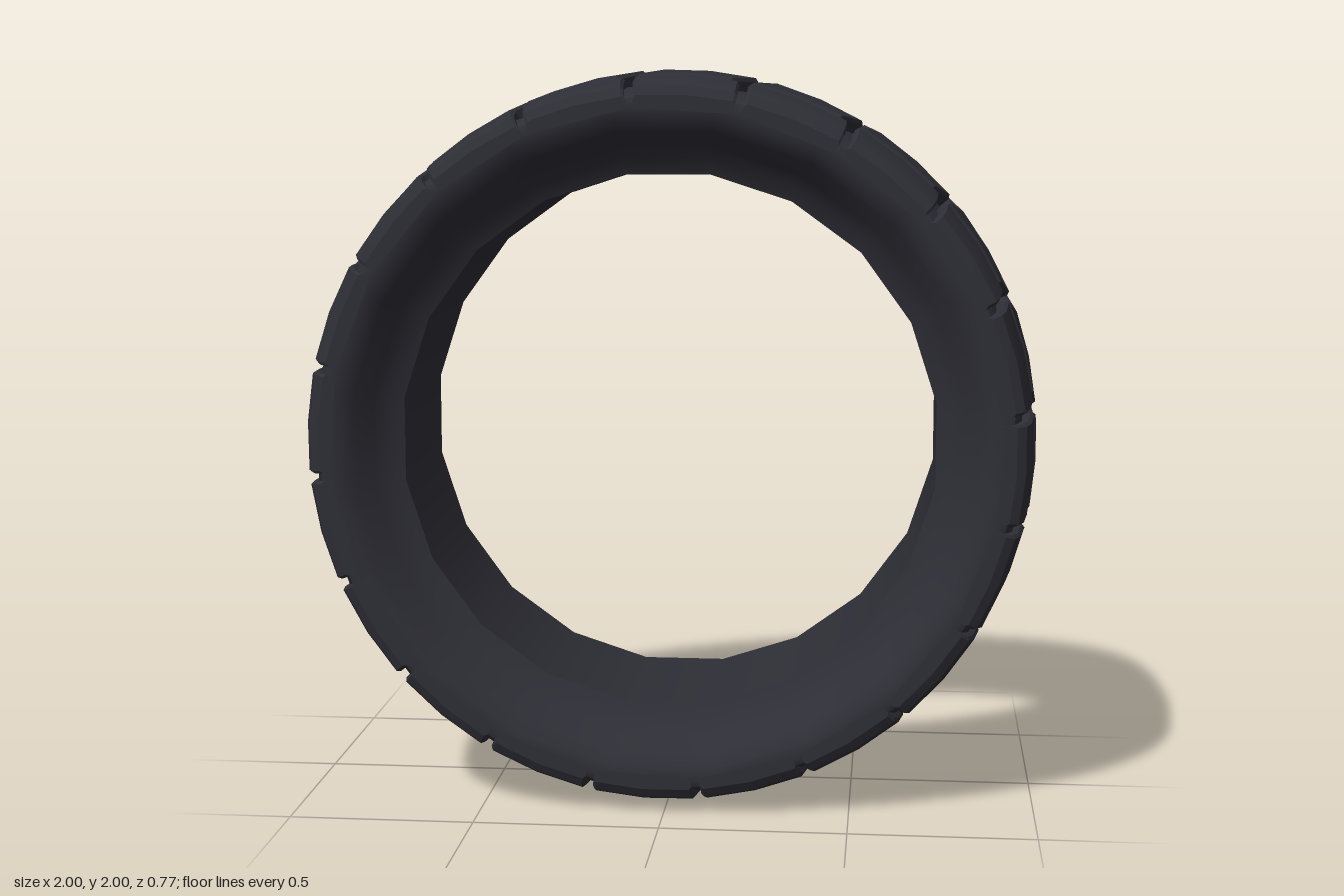
import * as THREE from 'three';
import { toCreasedNormals } from 'three/addons/utils/BufferGeometryUtils.js';

const COUNT = 20;
const STEP = 360 / COUNT;
const rad = THREE.MathUtils.degToRad;

// Ring of revolution around z from [radius, z] points
function ring(points) {
  const profile = points.map(([r, z]) => new THREE.Vector2(r, z));
  const geometry = new THREE.LatheGeometry(profile, COUNT, rad(STEP / 2), Math.PI * 2);
  return geometry.rotateX(Math.PI / 2);
}

// Bevelled tread block lofted through [z, radius] stations; shift(z) skews it in degrees
function treadBlock(stations, from, to, shift) {
  const base = 0.9, bevel = 0.009;
  const rows = stations.map(([z, r]) => {
    const a = from + shift(z), b = to + shift(z);
    const loop = [
      [a, base], [a, r - bevel], [a + 0.45, r], [(a + b) / 2, r],
      [b - 0.45, r], [b, r - bevel], [b, base],
    ];
    return loop.map(([deg, rr]) => [rr * Math.cos(rad(deg)), rr * Math.sin(rad(deg)), z]);
  });
  const position = [];
  const face = (...corners) => corners.forEach((c) => position.push(...c));
  for (let i = 0; i < rows.length - 1; i++) {
    for (let j = 0; j < rows[i].length - 1; j++) {
      const a = rows[i][j], b = rows[i][j + 1], c = rows[i + 1][j], d = rows[i + 1][j + 1];
      face(a, b, c);
      face(b, d, c);
    }
  }
  // End caps
  const first = rows[0], last = rows[rows.length - 1];
  for (let j = 1; j < first.length - 1; j++) {
    face(first[0], first[j + 1], first[j]);
    face(last[0], last[j], last[j + 1]);
  }
  const geometry = new THREE.BufferGeometry();
  geometry.setAttribute('position', new THREE.Float32BufferAttribute(position, 3));
  return toCreasedNormals(geometry, rad(25));
}

export function createModel() {
  const model = new THREE.Group();
  model.name = 'tire';
  const rubber = new THREE.MeshStandardMaterial({ color: 0x2e2e36 });
  rubber.name = 'dark rubber';

  const wheel = new THREE.Group();
  wheel.name = 'tireBody';
  wheel.position.y = 1;
  model.add(wheel);

  const add = (name, geometry, parent = wheel) => {
    const mesh = new THREE.Mesh(geometry, rubber);
    mesh.name = name;
    parent.add(mesh);
    return mesh;
  };

  // Carcass: groove floor, dished sidewalls and bore
  add('grooveFloor', ring([[0.935, -0.372], [0.955, -0.33], [0.968, 0], [0.955, 0.33], [0.935, 0.372]]));
  const wall = [[0.935, 0.372], [0.915, 0.38], [0.88, 0.375], [0.845, 0.35], [0.805, 0.3], [0.77, 0.268], [0.73, 0.25]];
  add('frontSidewall', ring(wall));
  add('backSidewall', ring(wall.map(([r, z]) => [r, -z]).reverse()));
  add('bore', ring([[0.73, 0.25], [0.73, -0.25]]));

  // Tread: chevron blocks in the middle, shoulder blocks on both sides
  const centre = [[-0.195, 0.982], [-0.187, 0.99], [0, 1], [0.187, 0.99], [0.195, 0.982]];
  const shoulder = [[0.225, 0.976], [0.233, 0.984], [0.33, 0.972], [0.368, 0.957], [0.382, 0.932]];
  const mirrored = shoulder.map(([z, r]) => [-z, r]).reverse();
  const chevron = (z) => -3 * (1 - Math.abs(z) / 0.195);
  const slant = (z) => -0.6 * (Math.abs(z) - 0.225) / 0.157;

  const chevronGeometry = treadBlock(centre, 7.9, 23.3, chevron);
  const frontGeometry = treadBlock(shoulder, 6.8, 23.4, slant);
  const backGeometry = treadBlock(mirrored, 6.8, 23.4, slant);
  const tread = new THREE.Group();
  tread.name = 'tread';
  wheel.add(tread);
  for (let i = 0; i < COUNT; i++) {
    const angle = rad(i * STEP);
    add('chevronBlock', chevronGeometry, tread).rotation.z = angle;
    add('frontShoulderBlock', frontGeometry, tread).rotation.z = angle;
    add('backShoulderBlock', backGeometry, tread).rotation.z = angle;
  }

  // Short radial ribs in arcs on the back sidewall, [first, last] in degrees
  const ribs = new THREE.Group();
  ribs.name = 'backSidewallRibs';
  wheel.add(ribs);
  const ribGeometry = new THREE.BoxGeometry(0.045, 0.021, 0.04).translate(0.895, 0, -0.366);
  const arcs = [[67, 115], [231, 267], [271.5, 272], [276, 294], [298, 303]];
  for (const [first, last] of arcs) {
    for (let deg = first; deg <= last; deg += 2) {
      add('rib', ribGeometry, ribs).rotation.z = rad(deg);
    }
  }
  return model;
}
